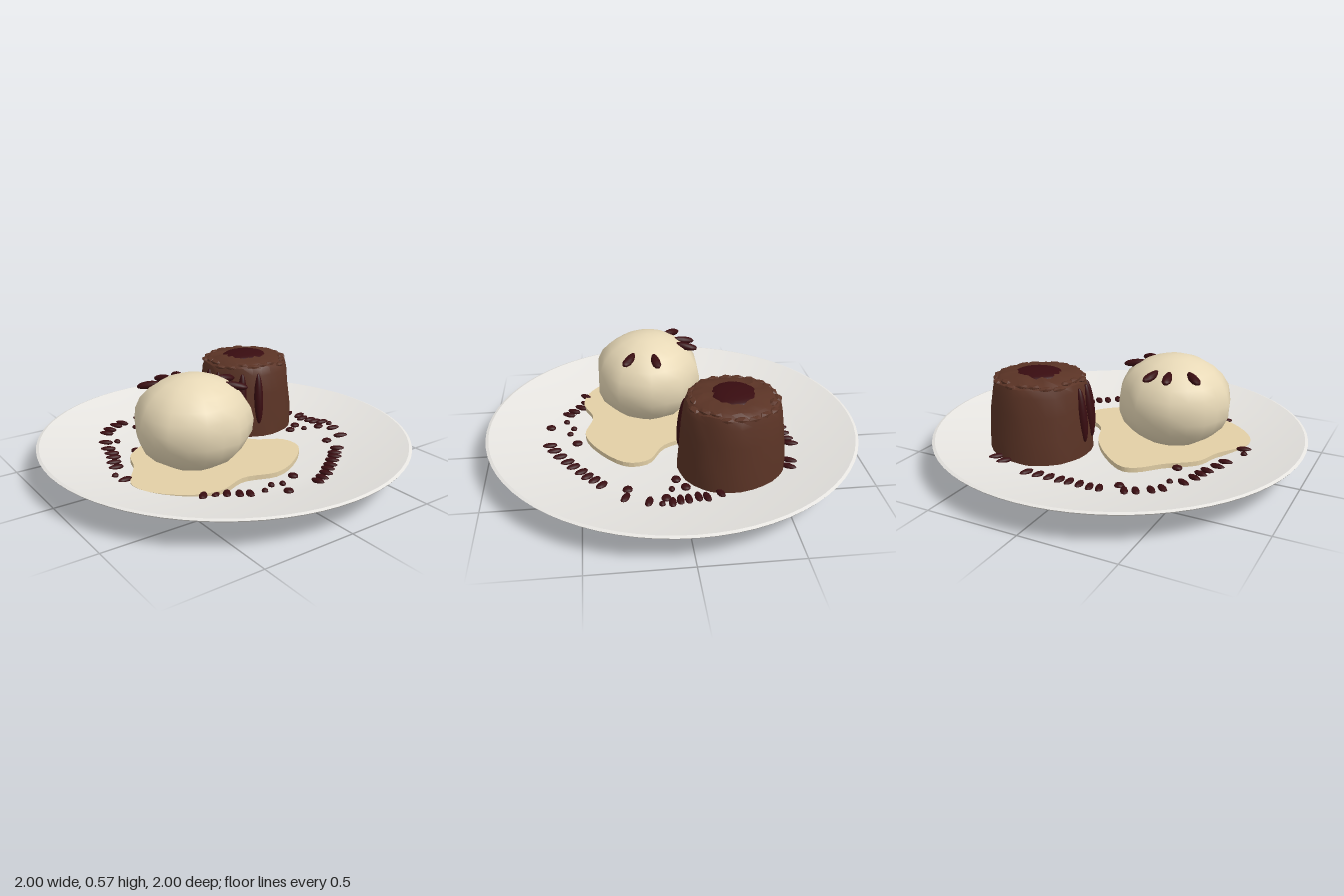
import * as THREE from 'three';
import { mergeVertices, toCreasedNormals } from 'three/addons/utils/BufferGeometryUtils.js';

const material = (name, color) => {
  const m = new THREE.MeshStandardMaterial({ color });
  m.name = name;
  return m;
};

// Moves every vertex by a rule and rebuilds seamless smooth normals
function reshape(geometry, rule) {
  geometry.deleteAttribute('uv');
  geometry.deleteAttribute('normal');
  const g = mergeVertices(geometry, 1e-4);
  const p = g.attributes.position;
  const v = new THREE.Vector3();
  for (let i = 0; i < p.count; i++) {
    v.fromBufferAttribute(p, i);
    rule(v, i);
    p.setXYZ(i, v.x, v.y, v.z);
  }
  g.computeVertexNormals();
  return g;
}

const lathe = (points, segments) =>
  new THREE.LatheGeometry(points.map(([x, y]) => new THREE.Vector2(x, y)), segments);

// Height of the plate's inner surface at a given radius
const floorAt = (r) => (r < 0.58 ? 0.082 : 0.082 + (r - 0.58) * 0.19);

export function createModel() {
  const model = new THREE.Group();
  model.name = 'platedDessert';
  const porcelain = material('porcelain', 0xe6e4e0);
  const cream = material('cream', 0xe9dab8);
  const melted = material('meltedCream', 0xe2cfa6);
  const chocolate = material('chocolate', 0x5a3325);
  const sauce = material('darkSauce', 0x380c10);

  let seed = 7;
  const random = () => (seed = (seed * 16807) % 2147483647) / 2147483647;

  const add = (name, geometry, mat, parent = model) => {
    const mesh = new THREE.Mesh(geometry, mat);
    mesh.name = name;
    parent.add(mesh);
    return mesh;
  };
  const group = (name, x = 0, y = 0, z = 0) => {
    const g = new THREE.Group();
    g.name = name;
    g.position.set(x, y, z);
    model.add(g);
    return g;
  };

  // Plate with flat foot and wide sloping rim
  const plate = lathe([
    [0, 0], [0.64, 0], [0.68, 0.03], [0.84, 0.095], [0.995, 0.155], [1, 0.162],
    [0.985, 0.167], [0.85, 0.134], [0.7, 0.105], [0.58, 0.082], [0, 0.08],
  ], 72);
  add('plate', toCreasedNormals(plate, 0.45), porcelain);

  // Puddle of melted cream
  const outline = [
    [-0.195, -0.365], [-0.05, -0.265], [0.07, -0.12], [0.155, 0.06], [0.29, 0.155],
    [0.3, 0.27], [0.14, 0.42], [-0.01, 0.475], [-0.185, 0.43], [-0.345, 0.48],
    [-0.48, 0.45], [-0.635, 0.31], [-0.67, 0.18], [-0.56, 0], [-0.51, -0.13],
    [-0.37, -0.24], [-0.265, -0.345],
  ].map(([x, z]) => new THREE.Vector3(x, -z, 0));
  const curve = new THREE.CatmullRomCurve3(outline, true);
  const shape = new THREE.Shape(curve.getPoints(80).slice(0, -1).map((p) => new THREE.Vector2(p.x, p.y)));
  const puddle = new THREE.ExtrudeGeometry(shape, { depth: 0.025, bevelEnabled: false });
  puddle.rotateX(-Math.PI / 2).translate(0, 0.082, 0);
  add('creamPuddle', puddle, melted);

  // Lumpy scoop with soft ridges running to the crown
  const scoopGeometry = reshape(new THREE.SphereGeometry(1, 20, 12), (v) => {
    const angle = Math.atan2(v.z, v.x);
    const around = Math.hypot(v.x, v.z);
    const ridge = 1 + 0.022 * around * (Math.cos(angle * 10) + Math.sin(angle * 3 + v.y * 4));
    const fullness = v.y < 0 ? 1 + 0.06 * around * -v.y : 1;
    v.set(v.x * 0.3 * ridge * fullness, v.y * (v.y > 0 ? 0.235 : 0.255), v.z * 0.288 * ridge * fullness);
  });
  const scoop = group('scoop', -0.27, 0.335, 0.11);
  add('scoopBody', scoopGeometry, cream, scoop);

  // Almond-shaped flakes fanned out over the scoop
  const flakeGeometry = reshape(new THREE.SphereGeometry(1, 10, 8), (v) => {
    v.set(v.x * 0.024 * (1 + 0.3 * v.z), v.y * 0.02, v.z * 0.068);
  });
  const flakes = [[-0.16, -0.15], [-0.045, -0.205], [0.042, -0.21], [0.215, -0.028], [0.185, 0.108]];
  flakes.forEach(([x, z], i) => {
    const flake = add(`flake${i + 1}`, flakeGeometry, sauce, scoop);
    flake.rotation.order = 'YXZ';
    flake.rotation.set(0.16, Math.atan2(x, z), 0);
    flake.position.set(x, 0.17, z);
  });

  // Small tapered cake with slightly uneven crust
  const cake = group('cake', 0.335, 0, -0.265);
  const cakeGeometry = reshape(lathe([
    [0, 0.08], [0.274, 0.08], [0.268, 0.2], [0.256, 0.33], [0.245, 0.43],
    [0.232, 0.468], [0.2, 0.488], [0.15, 0.497], [0, 0.5],
  ], 28), (v) => {
    const s = 1 + (random() - 0.5) * 0.025;
    v.set(v.x * s, v.y + (v.y > 0.4 ? (random() - 0.5) * 0.014 : 0), v.z * s);
  });
  add('cakeBody', toCreasedNormals(cakeGeometry, 0.6), chocolate, cake);

  // Ragged crust flakes round the top edge
  const crumbGeometry = new THREE.IcosahedronGeometry(1, 0);
  for (let i = 0; i < 22; i++) {
    const a = (i / 22) * Math.PI * 2;
    const r = 0.2 + random() * 0.03;
    const crumb = add(`crustFlake${i + 1}`, crumbGeometry, chocolate, cake);
    crumb.scale.set(0.04, 0.013, 0.024);
    crumb.rotation.set(0, Math.PI / 2 - a, 0);
    crumb.position.set(Math.cos(a) * r, 0.482 - (r - 0.2) * 0.5, Math.sin(a) * r);
  }

  // Sauce pool on the cake and drips down its side
  const ball = new THREE.SphereGeometry(1, 24, 12);
  const pool = add('saucePool', ball, sauce, cake);
  pool.scale.set(0.133, 0.03, 0.12);
  pool.position.set(0, 0.487, -0.005);
  [[-0.255, 0.075], [-0.22, 0.145], [-0.165, 0.2], [-0.082, 0.246], [-0.262, -0.01]].forEach(([x, z], i) => {
    const drip = add(`sauceDrip${i + 1}`, ball, sauce, cake);
    drip.scale.set(0.026, 0.145, 0.026);
    drip.position.set(x * 0.98, 0.3, z * 0.98);
    drip.rotation.set(-z * 0.4, 0, x * 0.4);
  });

  // Sauce drops ringed around the plate, stretched outwards
  const drops = group('sauceDrops');
  const dropGeometry = new THREE.SphereGeometry(1, 10, 6);
  const addDrops = (list, width, length) => list.forEach(([x, z]) => {
    const drop = add('sauceDrop', dropGeometry, sauce, drops);
    drop.scale.set(width, 0.014, length);
    drop.rotation.y = Math.atan2(x, z);
    drop.position.set(x, floorAt(Math.hypot(x, z)) + 0.005, z);
  });
  addDrops([
    [-0.2, -0.61], [-0.15, -0.615], [-0.09, -0.605], [-0.03, -0.6], [0.02, -0.605], [0.08, -0.605],
    [0.14, -0.61], [0.2, -0.62], [-0.32, -0.59], [-0.37, -0.57], [-0.43, -0.53], [-0.47, -0.49],
    [-0.53, -0.38], [-0.555, -0.3], [-0.565, -0.24], [-0.58, -0.19], [-0.61, -0.125], [-0.63, -0.06],
    [-0.67, 0.115], [0.37, -0.57], [0.43, -0.55], [0.6, -0.17], [0.63, -0.1], [0.62, -0.06],
    [0.635, -0.01], [0.64, 0.03], [0.66, 0.07], [0.645, 0.18], [0.6, 0.29],
  ], 0.019, 0.042);
  addDrops([
    [0.47, 0.4], [0.42, 0.435], [0.385, 0.47], [0.34, 0.5], [0.29, 0.54], [0.245, 0.57], [0.195, 0.61],
    [0.14, 0.64], [0.09, 0.665], [-0.25, 0.57], [-0.29, 0.54], [-0.335, 0.5], [-0.38, 0.47], [-0.45, 0.47],
  ], 0.02, 0.04);
  addDrops([
    [-0.26, -0.52], [-0.43, -0.215], [0.45, 0.03], [0.52, -0.01], [0.61, 0.095], [0.51, 0.275],
    [0.055, 0.52], [-0.095, 0.665],
  ], 0.025, 0.028);
  addDrops([
    [-0.46, -0.38], [-0.69, 0.05], [0.53, 0.06], [0.67, 0.12], [-0.045, 0.56], [-0.1, 0.54], [-0.17, 0.58],
  ], 0.016, 0.018);

  return model;
}
